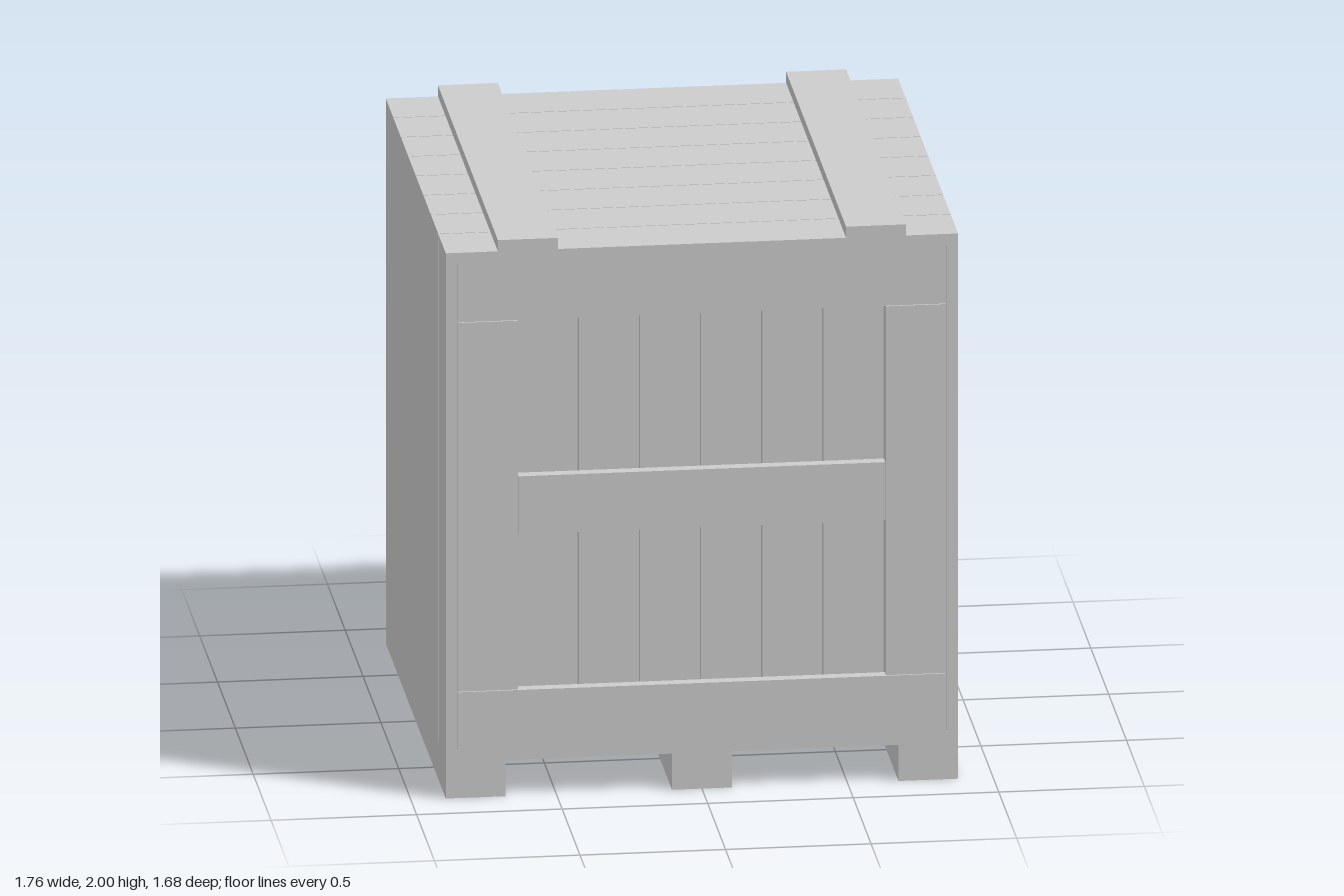
import * as THREE from 'three';

const material = new THREE.MeshStandardMaterial({ color: 0xcccccc, flatShading: true });

const T = 0.04;              // board thickness
const GAP = 0.004;           // seam between neighbouring boards
const COUNT = 8;             // boards per panel
const PITCH = 0.21;          // board spacing
const HX = 0.88, HZ = 0.84;  // half width and half depth
const FLOOR = 0.13, LID = 1.92;
const WALL_LOW = FLOOR + T;

// Box given by its lower and upper limits on each axis
function board(parent, name, [x0, x1], [y0, y1], [z0, z1]) {
  const mesh = new THREE.Mesh(new THREE.BoxGeometry(x1 - x0, y1 - y0, z1 - z0), material);
  mesh.position.set((x0 + x1) / 2, (y0 + y1) / 2, (z0 + z1) / 2);
  mesh.name = name;
  parent.add(mesh);
}

function group(parent, name) {
  const g = new THREE.Group();
  g.name = name;
  parent.add(g);
  return g;
}

// Limits of each board in a row, the outer edges staying flush
function rowOfBoards() {
  return Array.from({ length: COUNT }, (_, i) => [
    -HZ + i * PITCH + (i > 0 ? GAP / 2 : 0),
    -HZ + (i + 1) * PITCH - (i < COUNT - 1 ? GAP / 2 : 0),
  ]);
}

export function createModel() {
  const crate = new THREE.Group();
  crate.name = 'crate';
  const row = rowOfBoards();

  // Skids under the floor
  for (const [name, x0, x1] of [['rightSkid', -HX, -0.675], ['middleSkid', -0.103, 0.103], ['leftSkid', 0.675, HX]]) {
    board(crate, name, [x0, x1], [0, FLOOR], [-HZ, HZ]);
  }

  // Floor and lid, boards running across the width
  const floor = group(crate, 'floor');
  const lid = group(crate, 'lid');
  for (const z of row) {
    board(floor, 'floorBoard', [-HX, HX], [FLOOR, WALL_LOW], z);
    board(lid, 'lidBoard', [-HX, HX], [LID, LID + T], z);
  }

  // Lid battens
  for (const [name, x] of [['rightBatten', -0.598], ['leftBatten', 0.598]]) {
    board(lid, name, [x - 0.103, x + 0.103], [LID + T, 2], [-HZ, HZ]);
  }

  // Side walls of upright boards
  for (const [name, x] of [['rightWall', [-HX, -HX + T]], ['leftWall', [HX - T, HX]]]) {
    const wall = group(crate, name);
    for (const z of row) board(wall, 'wallBoard', x, [WALL_LOW, LID], z);
  }

  // Front and back: recessed boards behind a raised frame with a middle rail
  const inner = HX - T - GAP / 2;
  for (const [name, turn] of [['frontPanel', 0], ['backPanel', Math.PI]]) {
    const panel = group(crate, name);
    panel.rotation.y = turn;
    for (const [x0, x1] of row) {
      board(panel, 'panelBoard', [Math.max(x0, -inner), Math.min(x1, inner)], [WALL_LOW, LID], [HZ - 2 * T, HZ - T]);
    }
    const z = [HZ - T, HZ];
    board(panel, 'bottomRail', [-inner, inner], [WALL_LOW, 0.38], z);
    board(panel, 'topRail', [-inner, inner], [1.71, LID], z);
    board(panel, 'middleRail', [-0.63, 0.63], [0.94, 1.148], z);
    board(panel, 'rightStile', [-inner, -0.632], [0.382, 1.708], z);
    board(panel, 'leftStile', [0.632, inner], [0.382, 1.708], z);
  }

  return crate;
}
